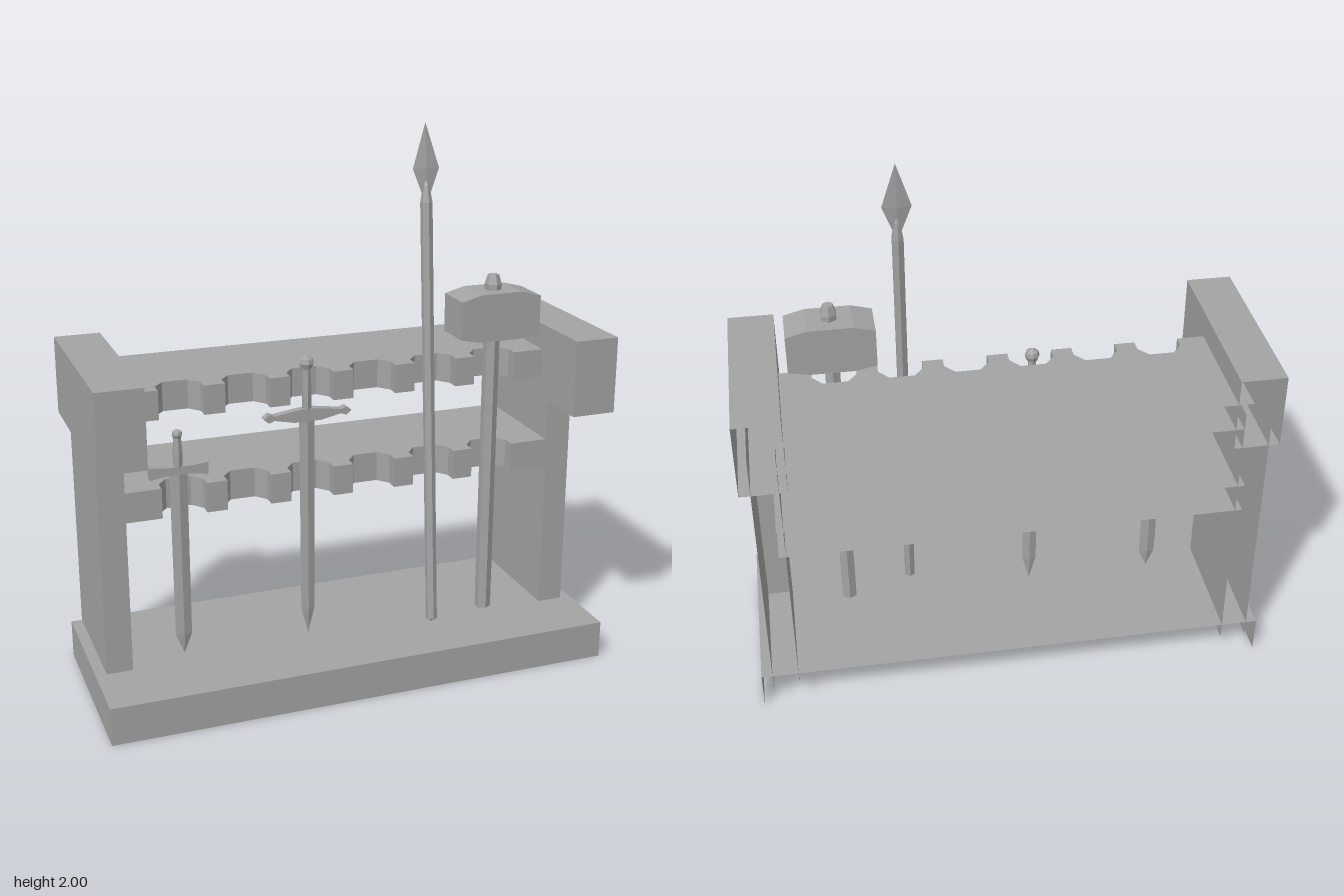
import * as THREE from 'three';

const grey = new THREE.MeshStandardMaterial({ color: 0xa3a3a3, side: THREE.DoubleSide });
grey.name = 'plain grey';

const V = (x, y) => new THREE.Vector2(x, y);

// Flat-shaded geometry without the faces lying on the given planes [axis, value]
function faceted(geo, openPlanes = []) {
  const src = geo.index ? geo.toNonIndexed() : geo;
  const p = src.attributes.position.array;
  const kept = [];
  for (let i = 0; i < p.length; i += 9) {
    const open = openPlanes.some(([axis, value]) =>
      [0, 3, 6].every((k) => Math.abs(p[i + k + axis] - value) < 1e-4));
    if (!open) kept.push(...p.slice(i, i + 9));
  }
  const out = new THREE.BufferGeometry();
  out.setAttribute('position', new THREE.Float32BufferAttribute(kept, 3));
  out.computeVertexNormals();
  return out;
}

function add(parent, name, geo) {
  const mesh = new THREE.Mesh(geo, grey);
  mesh.name = name;
  parent.add(mesh);
  return mesh;
}

// Box given by its limits
function box(x0, x1, y0, y1, z0, z1, open) {
  const g = new THREE.BoxGeometry(x1 - x0, y1 - y0, z1 - z0);
  g.translate((x0 + x1) / 2, (y0 + y1) / 2, (z0 + z1) / 2);
  return faceted(g, open);
}

// Turned part from [radius, height] pairs, optionally flattened in z
function turned(profile, sides, flat = 1) {
  const g = new THREE.LatheGeometry(profile.map(([r, y]) => V(r, y)), sides);
  g.scale(1, 1, flat);
  return faceted(g);
}

// Outline in x/y with a thickness centred on z = 0
function plate(points, depth) {
  const g = new THREE.ExtrudeGeometry(new THREE.Shape(points.map(([x, y]) => V(x, y))),
    { depth, bevelEnabled: false });
  g.translate(0, 0, -depth / 2);
  return faceted(g);
}

const BACK = -0.35;

// Shelf with a row of chamfered notches along its front edge
function shelf(y0, y1) {
  const end = 0.83, front = 0.1;
  const pts = [V(-end, -BACK), V(-end, -front)];
  for (let i = 0; i < 6; i++) {
    const c = -0.595 + i * 0.235;
    for (const [dx, z] of [[-0.08, front], [-0.08, 0.055], [-0.045, 0.012],
      [0.045, 0.012], [0.08, 0.055], [0.08, front]]) pts.push(V(c + dx, -z));
  }
  pts.push(V(end, -front), V(end, -BACK));
  const g = new THREE.ExtrudeGeometry(new THREE.Shape(pts), { depth: y1 - y0, bevelEnabled: false });
  g.rotateX(-Math.PI / 2);
  g.translate(0, y0, 0);
  return faceted(g, [[2, BACK], [0, -end], [0, end]]);
}

function sword(name, x, z, blade, guardY, guard, gripTop, pommel) {
  const s = new THREE.Group();
  s.name = name;
  s.position.set(x, 0, z);
  add(s, 'blade', turned(blade, 4, 0.35));
  add(s, 'guard', plate(guard, 0.03)).position.y = guardY;
  add(s, 'grip', turned([[0.016, guardY], [0.018, (guardY + gripTop) / 2], [0.014, gripTop]], 6));
  add(s, 'pommel', turned([[0, -1], [0.75, -0.75], [1, -0.1], [0.85, 0.5], [0, 1]]
    .map(([r, y]) => [r * pommel, gripTop + pommel * (y + 0.6)]), 8));
  return s;
}

export function createModel() {
  const model = new THREE.Group();
  model.name = 'weaponRack';

  // Rack body, open towards the wall
  add(model, 'base', box(-0.94, 0.94, 0, 0.14, BACK, 0.35, [[2, BACK], [1, 0]]));
  for (const [side, s] of [['left', 1], ['right', -1]]) {
    const span = (a, b) => (s > 0 ? [a, b] : [-b, -a]);
    add(model, side + 'Post', box(...span(0.805, 0.9), 0.08, 1.12, BACK, 0.105,
      [[2, BACK], [1, 0.08], [1, 1.12]]));
    add(model, side + 'Cap', box(...span(0.775, 0.94), 0.98, 1.26, BACK, 0.35, [[2, BACK]]));
  }
  add(model, 'lowerShelf', shelf(0.7, 0.81));
  add(model, 'upperShelf', shelf(1.06, 1.165));

  // Short sword with flared guard
  model.add(sword('shortSword', -0.6, 0.04,
    [[0, 0.14], [0.03, 0.215], [0.032, 0.84], [0, 0.84]], 0.85,
    [[-0.105, -0.025], [-0.05, -0.015], [0.05, -0.015], [0.105, -0.025],
      [0.105, 0.022], [0.05, 0.015], [-0.05, 0.015], [-0.105, 0.022]], 0.97, 0.019));

  // Long sword with pointed guard
  model.add(sword('longSword', -0.125, 0.04,
    [[0, 0.14], [0.026, 0.24], [0.029, 0.99], [0, 0.99]], 1,
    [[-0.165, 0], [-0.145, -0.016], [-0.125, -0.008], [-0.05, -0.024], [0.05, -0.024],
      [0.125, -0.008], [0.145, -0.016], [0.165, 0], [0.145, 0.016], [0.125, 0.008],
      [0.03, 0.022], [-0.03, 0.022], [-0.125, 0.008], [-0.145, 0.016]], 1.175, 0.027));

  // Leaning spear
  const spear = new THREE.Group();
  spear.name = 'spear';
  spear.position.set(0.34, 0.145, 0.125);
  spear.rotation.x = -0.078;
  add(spear, 'shaft', turned([[0, 0], [0.021, 0.012], [0.022, 1.58], [0.012, 1.64], [0, 1.67]], 6));
  add(spear, 'spearhead', turned([[0.012, 1.6], [0.05, 1.7], [0, 1.86]], 4, 0.14));
  model.add(spear);

  // War hammer
  const hammer = new THREE.Group();
  hammer.name = 'hammer';
  hammer.position.set(0.585, 0, 0.058);
  add(hammer, 'handle', turned([[0.03, 0.13], [0.03, 1.4], [0.031, 1.42], [0.02, 1.455], [0, 1.455]], 6));
  add(hammer, 'hammerHead', plate([[-0.155, 1.24], [-0.08, 1.225], [0.08, 1.225], [0.155, 1.24],
    [0.155, 1.38], [0.08, 1.4], [-0.08, 1.4], [-0.155, 1.38]], 0.152));
  model.add(hammer);

  return model;
}
